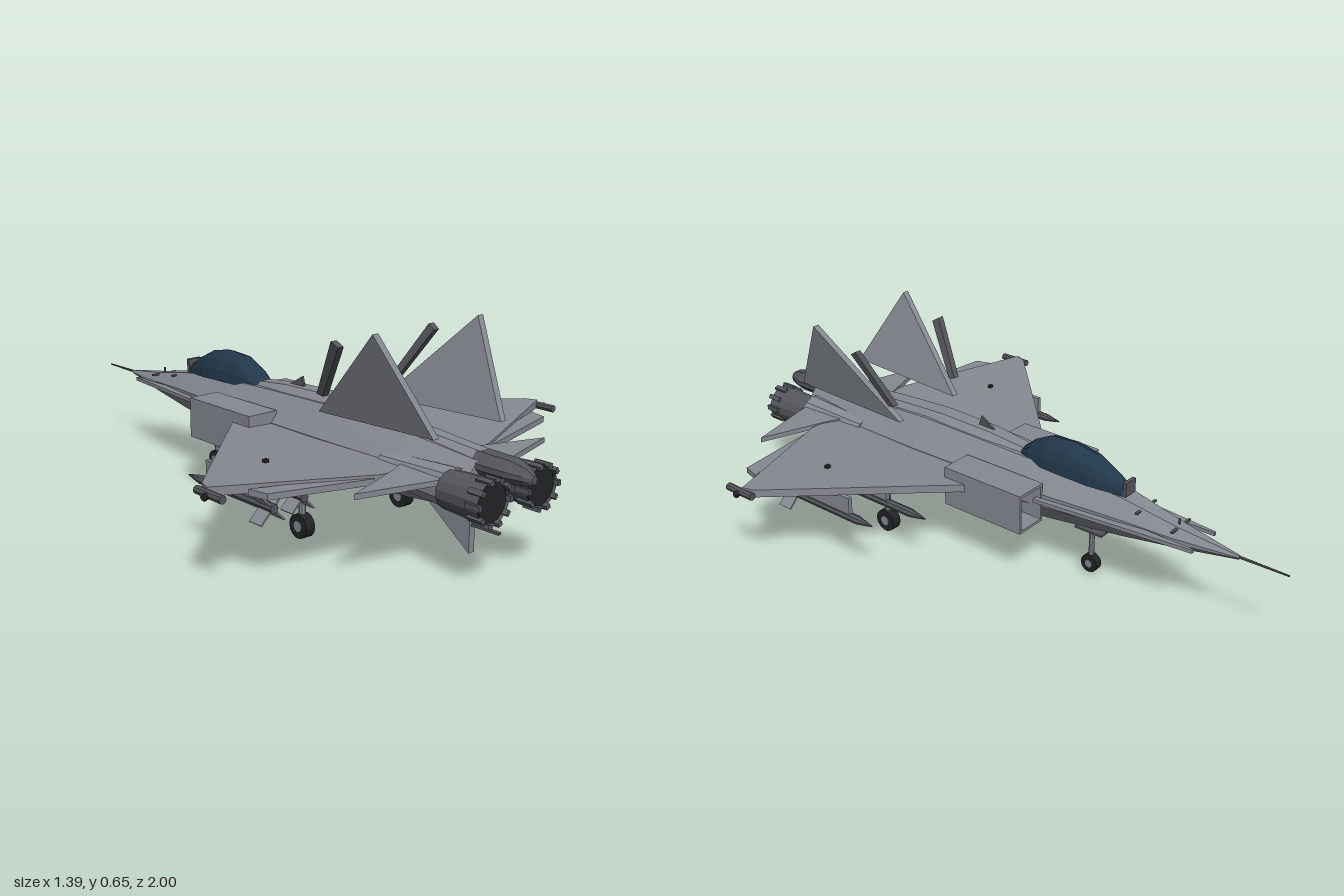
import * as THREE from 'three';

const mat = (color) => new THREE.MeshStandardMaterial({ color, flatShading: true, side: THREE.DoubleSide });

export function createModel() {
  const group = new THREE.Group();
  const body = mat(0x868a92), dark = mat(0x55565c), black = mat(0x222326), glass = mat(0x22384a);

  const add = (name, geo, m = body, x = 0, y = 0, z = 0, parent = group) => {
    const mesh = new THREE.Mesh(geo, m);
    mesh.name = name;
    mesh.position.set(x, y, z);
    parent.add(mesh);
    return mesh;
  };
  const box = (w, h, d) => new THREE.BoxGeometry(w, h, d);
  // cylinder along z; r0 at the rear end, r1 at the front end
  const rod = (r0, r1, len, n = 8, open = false) => new THREE.CylinderGeometry(r0, r1, len, n, 1, open).rotateX(Math.PI / 2);
  const axle = (r, w, n = 14) => new THREE.CylinderGeometry(r, r, w, n).rotateZ(Math.PI / 2);
  const shape = (pts) => new THREE.Shape(pts.map(([a, b]) => new THREE.Vector2(a, b)));
  const solid = (s, depth) => new THREE.ExtrudeGeometry(s, { depth, bevelEnabled: false }).translate(0, 0, -depth / 2);
  // horizontal plate from [x, z] outline, vertical plate from [z, y] outline
  const plate = (pts, t) => solid(shape(pts), t).rotateX(Math.PI / 2);
  const blade = (pts, t) => solid(shape(pts), t).rotateY(-Math.PI / 2);
  const bend = (geo, rule) => {
    const p = geo.attributes.position, v = new THREE.Vector3();
    for (let i = 0; i < p.count; i++) {
      rule(v.fromBufferAttribute(p, i));
      p.setXYZ(i, v.x, v.y, v.z);
    }
    geo.computeVertexNormals();
    return geo;
  };
  // skin over [z, half width, bottom, top] stations with a normalised ring outline
  const loft = (stations, ring) => {
    const pos = [], n = ring.length;
    const pt = ([z, w, lo, hi], j) => [ring[j % n][0] * w, lo + (hi - lo) * ring[j % n][1], z];
    const last = stations.length - 1;
    for (let j = 0; j < n; j++) {
      for (let i = 0; i < last; i++) {
        const [a, b] = [pt(stations[i], j), pt(stations[i], j + 1)];
        const [d, c] = [pt(stations[i + 1], j), pt(stations[i + 1], j + 1)];
        pos.push(...a, ...b, ...c, ...a, ...c, ...d);
      }
      const mid = ([z, , lo, hi]) => [0, (lo + hi) / 2, z];
      pos.push(...mid(stations[0]), ...pt(stations[0], j + 1), ...pt(stations[0], j));
      pos.push(...mid(stations[last]), ...pt(stations[last], j), ...pt(stations[last], j + 1));
    }
    const g = new THREE.BufferGeometry();
    g.setAttribute('position', new THREE.Float32BufferAttribute(pos, 3));
    g.computeVertexNormals();
    return g;
  };

  // fuselage, spine and tail boom
  const octagon = [[1, 0.36], [1, 0.6], [0.45, 1], [-0.45, 1], [-1, 0.6], [-1, 0.36], [-0.5, 0], [0.5, 0]];
  add('fuselage', loft([
    [-0.845, 0.006, 0.25, 0.262], [-0.65, 0.042, 0.222, 0.29], [-0.47, 0.07, 0.2, 0.325], [-0.2, 0.1, 0.172, 0.35],
    [0, 0.112, 0.158, 0.358], [0.3, 0.118, 0.15, 0.365], [0.6, 0.108, 0.165, 0.35], [0.84, 0.085, 0.185, 0.325],
  ], octagon));
  const dome = [0, 1, 2, 3, 4, 5, 6, 7, 8].map((i) => [Math.cos(i * Math.PI / 8), Math.sin(i * Math.PI / 8)]);
  add('spine', loft([
    [-0.12, 0.045, 0.3, 0.362], [0.05, 0.055, 0.3, 0.38], [0.25, 0.058, 0.3, 0.385], [0.45, 0.055, 0.3, 0.375],
    [0.83, 0.04, 0.29, 0.345],
  ], octagon));
  add('tailBoom', loft([[0.82, 0.045, 0.278, 0.345], [0.93, 0.043, 0.278, 0.343], [0.98, 0.025, 0.283, 0.33], [1, 0.01, 0.29, 0.315]], octagon), dark);
  add('pitotProbe', rod(0.005, 0.003, 0.17, 6), dark, 0, 0.257, -0.915);
  add('noseVane', box(0.1, 0.006, 0.008), dark, 0, 0.285, -0.65);
  add('vanePost', box(0.005, 0.02, 0.005), dark, 0, 0.298, -0.645);
  add('dorsalAntenna', blade([[0.03, 0.37], [0.11, 0.375], [0.1, 0.412]], 0.008), dark);

  // canopy
  add('canopy', loft([
    [-0.47, 0.022, 0.325, 0.35], [-0.42, 0.036, 0.33, 0.385], [-0.35, 0.052, 0.335, 0.42], [-0.27, 0.058, 0.34, 0.435],
    [-0.18, 0.055, 0.34, 0.43], [-0.12, 0.046, 0.342, 0.4], [-0.08, 0.038, 0.342, 0.365],
  ], dome), glass);
  add('windshieldFrame', box(0.05, 0.045, 0.012), dark, 0, 0.35, -0.468);

  // central ventral fin and tail hook
  add('ventralFin', blade([[0.8, 0.15], [0.64, 0.16], [0.8, 0.042]], 0.022));
  add('tailHook', box(0.012, 0.007, 0.1), dark, 0, 0.125, 0.845);

  // nose gear
  add('noseStrut', new THREE.CylinderGeometry(0.009, 0.009, 0.12, 8), body, 0, 0.115, -0.342);
  add('noseWheel', axle(0.03, 0.026), black, 0, 0.04, -0.342);
  add('noseHub', axle(0.013, 0.03, 10), body, 0, 0.04, -0.342);
  add('noseGearDoor', box(0.05, 0.006, 0.1), dark, 0, 0.161, -0.343);

  for (const s of [1, -1]) {
    const side = new THREE.Group();
    side.name = s > 0 ? 'leftSide' : 'rightSide';
    group.add(side);
    const put = (name, geo, m, x = 0, y = 0, z = 0) => add(name, geo, m, s * x, y, z, side);
    const flip = (pts) => pts.map(([x, z]) => [s * x, z]);
    const dihedral = (v) => { v.y += 0.268 + (Math.abs(v.x) - 0.2) * 0.042; };

    // forebody strake
    put('strake', plate(flip([[0.058, -0.73], [0.066, -0.73], [0.118, -0.2], [0.05, -0.2]]), 0.012), body, 0, 0.26);
    put('sensorVane', box(0.025, 0.005, 0.008), dark, 0.04, 0.305, -0.53);

    // wing, drooped flap and tailplane
    put('wing', bend(plate(flip([[0.08, -0.1], [0.2, 0], [0.655, 0.45], [0.668, 0.49], [0.22, 0.665], [0.08, 0.665]]), 0.025), dihedral), body);
    put('flap', bend(plate(flip([[0.23, 0.63], [0.575, 0.54], [0.56, 0.6], [0.24, 0.662]]), 0.018), (v) => {
      dihedral(v);
      v.y -= 0.005;
    }), body);
    put('tailplane', plate(flip([[0.06, 0.61], [0.17, 0.66], [0.388, 0.735], [0.14, 0.8], [0.06, 0.8]]), 0.016), body, 0, 0.275);
    put('wingLight', box(0.015, 0.01, 0.012), black, 0.4, 0.293, 0.4);
    put('tipRail', rod(0.012, 0.012, 0.11, 8), dark, 0.668, 0.283, 0.5);
    put('tipLight', new THREE.SphereGeometry(0.011, 8, 6), black, 0.684, 0.28, 0.5);

    // canted fin with a separate slat ahead of it
    const cant = (v) => { v.x += s * (0.132 + (v.y - 0.375) * 0.278); };
    put('fin', bend(blade([[0.33, 0.372], [0.78, 0.388], [0.622, 0.655]], 0.022), cant), body);
    put('finSlat', bend(blade([[0.338, 0.43], [0.362, 0.425], [0.473, 0.592], [0.448, 0.607]], 0.022), cant), dark);

    // open intake duct with a dark inner wall
    const duct = shape([[-0.055, -0.065], [0.055, -0.065], [0.055, 0.065], [-0.055, 0.065]]);
    duct.holes.push(shape([[-0.046, -0.056], [-0.046, 0.056], [0.046, 0.056], [0.046, -0.056]]));
    put('intakeDuct', solid(duct, 0.3), body, 0.147, 0.25, -0.067);
    put('intakeWall', box(0.1, 0.12, 0.01), dark, 0.147, 0.25, -0.12);
    put('intakeRear', box(0.1, 0.12, 0.01), body, 0.147, 0.25, 0.077);

    // engine nacelle, nozzle and petals
    put('nacelle', rod(0.058, 0.045, 0.26, 10), body, 0.085, 0.25, 0.68);
    put('nozzle', rod(0.063, 0.055, 0.15, 14, true), dark, 0.1, 0.25, 0.875);
    put('nozzleLiner', rod(0.056, 0.04, 0.1, 14), black, 0.1, 0.25, 0.895);
    for (let i = 0; i < 10; i++) {
      const a = i * Math.PI / 5;
      put('nozzlePetal', box(0.012, 0.016, 0.05), dark, 0.1 + Math.cos(a) * 0.062, 0.25 + Math.sin(a) * 0.062, 0.935).rotation.z = s * a;
    }

    // pylons and stores with crossed fins
    for (const [x, y, z0, z1] of [[0.31, 0.182, 0.07, 0.46], [0.47, 0.203, 0.14, 0.52]]) {
      put('pylon', box(0.014, 0.27 - y, 0.22), body, x, (y + 0.27) / 2, 0.34);
      put('storeBody', rod(0.014, 0.014, z1 - z0 - 0.06, 8), dark, x, y, (z0 + z1 + 0.06) / 2);
      put('storeNose', rod(0.014, 0.002, 0.06, 8), dark, x, y, z0 + 0.03);
      for (const turn of [1, -1]) {
        put('storeFin', box(0.115, 0.005, 0.05), body, x, y, z1 - 0.03).rotation.z = turn * Math.PI / 4;
      }
    }
    put('gearDoor', box(0.07, 0.006, 0.09), body, 0.275, 0.176, 0.335);

    // main gear
    put('mainStrut', new THREE.CylinderGeometry(0.011, 0.011, 0.21, 8), body, 0.208, 0.155, 0.335);
    put('mainWheel', axle(0.038, 0.034), black, 0.208, 0.04, 0.335);
    put('mainHub', axle(0.017, 0.038, 10), body, 0.208, 0.04, 0.335);
  }
  return group;
}
